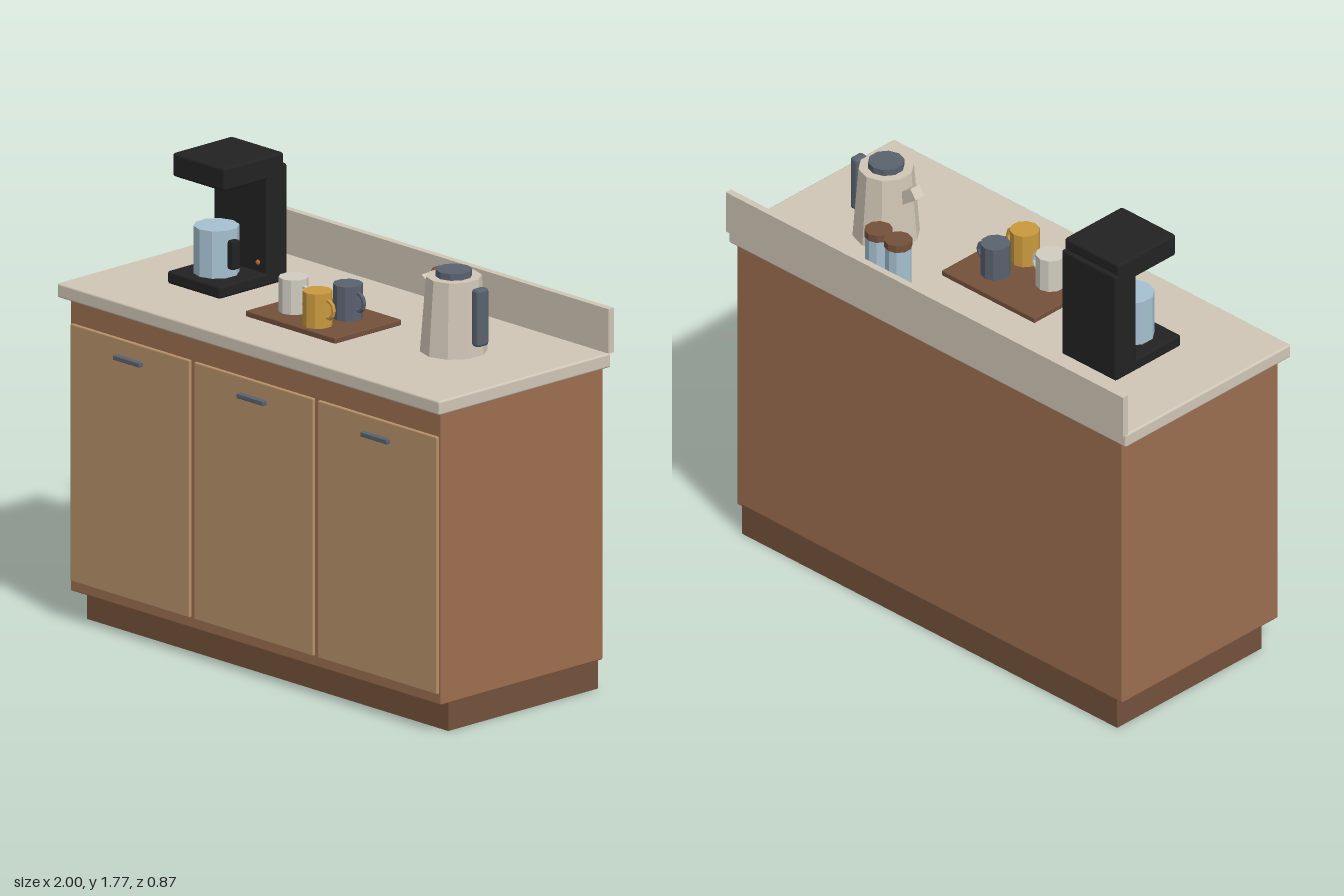
import * as THREE from 'three';
import { RoundedBoxGeometry } from 'three/addons/geometries/RoundedBoxGeometry.js';

function material(name, color) {
  const m = new THREE.MeshStandardMaterial({ color });
  m.name = name;
  return m;
}

// Faceted normals for the low-poly parts
function facet(geometry) {
  const g = geometry.index ? geometry.toNonIndexed() : geometry;
  g.computeVertexNormals();
  return g;
}

export function createModel() {
  const model = new THREE.Group();
  model.name = 'coffeeCounter';

  const stone = material('stone', 0xd0c6b6);
  const cabinetWood = material('cabinetWood', 0x9c6e50);
  const doorWood = material('doorWood', 0xb8926a);
  const darkWood = material('darkWood', 0x74513b);
  const black = material('black', 0x222222);
  const glass = material('glass', 0xa5c0d0);
  const slate = material('slate', 0x59626f);
  const mustard = material('mustard', 0xc99a3e);
  const porcelain = material('porcelain', 0xd0ccc0);
  const orange = material('orange', 0xb8623c);

  function add(parent, name, geometry, mat, x = 0, y = 0, z = 0) {
    const mesh = new THREE.Mesh(geometry, mat);
    mesh.name = name;
    mesh.position.set(x, y, z);
    parent.add(mesh);
    return mesh;
  }

  // Box given by its limits on each axis, with an optional small bevel
  function box(parent, name, mat, [x0, x1], [y0, y1], [z0, z1], bevel = 0) {
    const w = x1 - x0, h = y1 - y0, d = z1 - z0;
    const g = bevel
      ? new RoundedBoxGeometry(w, h, d, 2, bevel)
      : new THREE.BoxGeometry(w, h, d);
    return add(parent, name, g, mat, (x0 + x1) / 2, (y0 + y1) / 2, (z0 + z1) / 2);
  }

  // Ten-sided upright cylinder from y0 to y1
  function drum(parent, name, mat, x, z, y0, y1, rTop, rBottom = rTop) {
    const g = facet(new THREE.CylinderGeometry(rTop, rBottom, y1 - y0, 10));
    return add(parent, name, g, mat, x, (y0 + y1) / 2, z);
  }

  function group(name) {
    const g = new THREE.Group();
    g.name = name;
    model.add(g);
    return g;
  }

  // Cabinet with plinth, worktop and backsplash
  const cabinet = group('cabinet');
  box(cabinet, 'plinth', darkWood, [-0.945, 0.945], [0, 0.125], [-0.41, 0.34]);
  box(cabinet, 'cabinetBody', cabinetWood, [-0.97, 0.97], [0.115, 1.226], [-0.41, 0.4], 0.006);
  box(cabinet, 'worktop', stone, [-1, 1], [1.226, 1.28], [-0.422, 0.437], 0.008);
  box(cabinet, 'backsplash', stone, [-1, 1], [1.28, 1.448], [-0.437, -0.41]);

  // Three doors with bar handles
  for (const x of [-0.647, 0, 0.647]) {
    box(cabinet, 'door', doorWood, [x - 0.312, x + 0.312], [0.155, 1.13], [0.39, 0.411], 0.005);
    box(cabinet, 'doorHandle', slate, [x - 0.069, x + 0.069], [1.052, 1.07], [0.408, 0.431], 0.004);
  }

  // Coffee machine: base, column, overhanging head
  const machine = group('coffeeMachine');
  box(machine, 'machineBase', black, [-0.722, -0.447], [1.28, 1.328], [-0.185, 0.153], 0.01);
  box(machine, 'machineColumn', black, [-0.722, -0.447], [1.28, 1.725], [-0.187, -0.08], 0.01);
  box(machine, 'machineHead', black, [-0.722, -0.447], [1.68, 1.77], [-0.172, 0.128], 0.012);
  drum(machine, 'carafe', glass, -0.587, 0.035, 1.328, 1.507, 0.084);
  box(machine, 'carafeHandle', black, [-0.512, -0.48], [1.36, 1.47], [0.015, 0.055], 0.008);
  add(machine, 'powerButton', new THREE.SphereGeometry(0.01, 10, 8), orange, -0.488, 1.363, -0.08);

  // Serving tray with three mugs
  const trayGroup = group('trayWithMugs');
  box(trayGroup, 'tray', darkWood, [-0.235, 0.232], [1.28, 1.302], [-0.108, 0.225], 0.004);
  const mugs = [[-0.115, 0.1, porcelain], [0.08, 0.015, slate], [0.068, 0.155, mustard]];
  for (const [x, z, mat] of mugs) {
    drum(trayGroup, 'mug', mat, x, z, 1.302, 1.432, 0.055);
    const ring = facet(new THREE.TorusGeometry(0.03, 0.008, 6, 10));
    const handle = add(trayGroup, 'mugHandle', ring, mat, x + 0.055, 1.372, z);
    handle.scale.y = 1.1;
  }

  // Lidded storage jars
  const jars = group('jars');
  for (const x of [0.303, 0.402]) {
    drum(jars, 'jar', glass, x, -0.26, 1.28, 1.448, 0.049);
    drum(jars, 'jarLid', darkWood, x, -0.26, 1.446, 1.475, 0.052);
  }

  // Kettle with lid, slanted spout and side grip
  const kettle = group('kettle');
  drum(kettle, 'kettleBody', stone, 0.58, -0.037, 1.28, 1.562, 0.102, 0.124);
  drum(kettle, 'kettleLid', slate, 0.58, -0.037, 1.562, 1.587, 0.067);
  const spout = add(kettle, 'spout', new THREE.BoxGeometry(0.1, 0.046, 0.046), stone, 0.463, 1.491, -0.037);
  spout.rotation.z = -0.62;
  box(kettle, 'kettleHandle', slate, [0.7, 0.738], [1.327, 1.545], [-0.065, -0.007], 0.012);

  return model;
}
